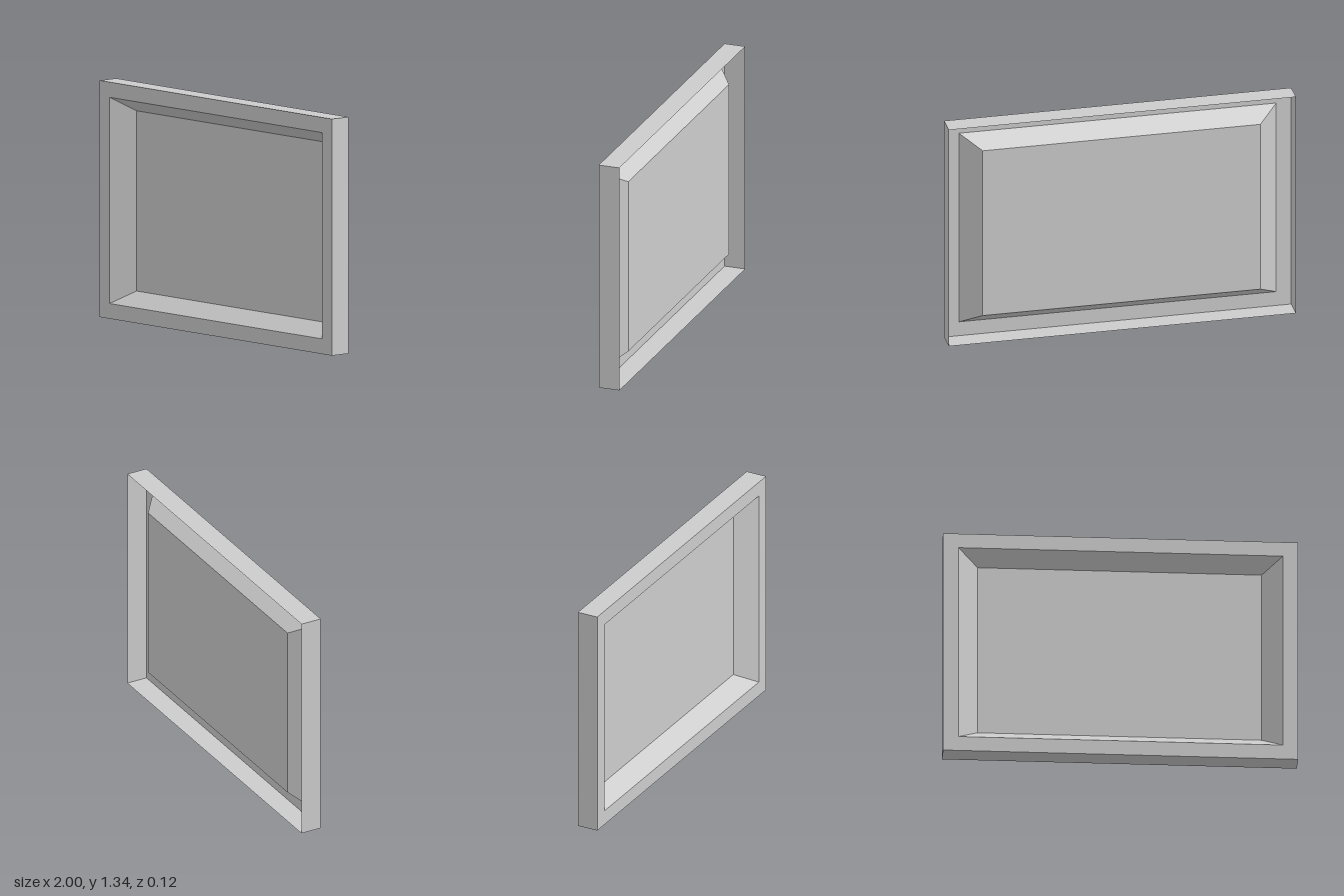
import * as THREE from 'three';

const CENTRE_Y = 0.672;

// Four corners of a rectangle, counter-clockwise from the front
function ring(halfWidth, halfHeight, z) {
  return [[-1, -1], [1, -1], [1, 1], [-1, 1]].map(
    ([sx, sy]) => [sx * halfWidth, CENTRE_Y + sy * halfHeight, z]);
}

function quads(list) {
  const positions = list.flatMap(([a, b, c, d]) => [a, b, c, a, c, d]).flat();
  const geometry = new THREE.BufferGeometry();
  geometry.setAttribute('position', new THREE.Float32BufferAttribute(positions, 3));
  geometry.computeVertexNormals();
  return geometry;
}

// Four quads joining one rectangle to the next
function band(from, to) {
  return quads(from.map((p, i) => {
    const j = (i + 1) % 4;
    return [p, from[j], to[j], to[i]];
  }));
}

export function createModel() {
  const group = new THREE.Group();
  group.name = 'recessedFrame';

  const grey = new THREE.MeshStandardMaterial({ color: 0xcccccc, side: THREE.DoubleSide });
  grey.name = 'light grey';

  const backEdge = ring(1, 0.672, -0.062);
  const frontEdge = ring(1, 0.672, 0.062);
  const opening = ring(0.914, 0.586, 0.062);
  const panelEdge = ring(0.8, 0.512, -0.04);

  const add = (name, geometry) => {
    const mesh = new THREE.Mesh(geometry, grey);
    mesh.name = name;
    group.add(mesh);
  };

  // Thin shell, open at the back
  add('outerWalls', band(backEdge, frontEdge));
  add('frontBorder', band(frontEdge, opening));
  add('slopedInnerWalls', band(opening, panelEdge));
  add('recessedPanel', quads([panelEdge]));

  return group;
}
